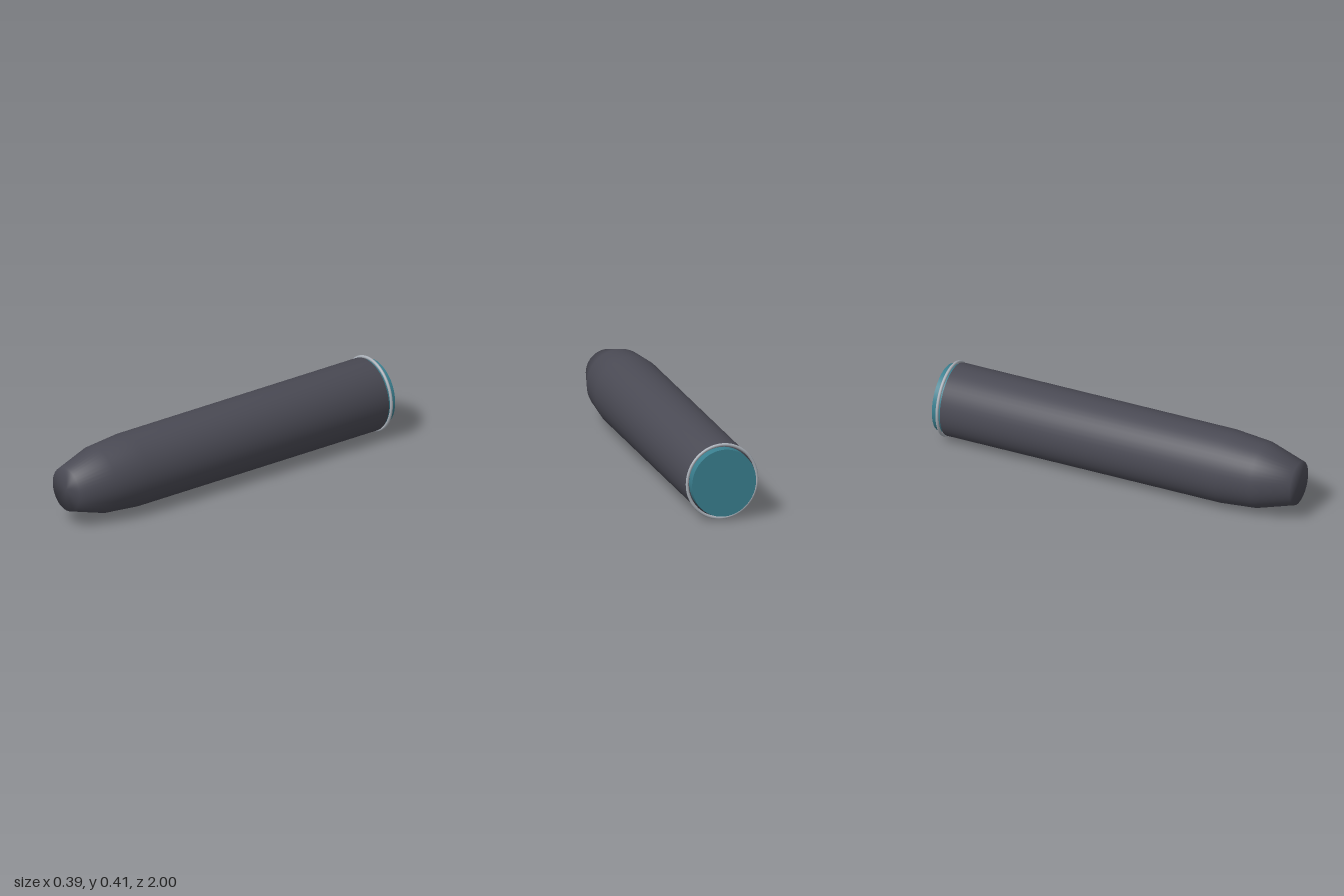
import * as THREE from 'three';

export function createModel() {
  const casing = new THREE.MeshStandardMaterial({ color: 0x4a4a54 });
  casing.name = 'charcoal casing';
  const teal = new THREE.MeshStandardMaterial({ color: 0x3a7f8f });
  teal.name = 'teal cap';
  const metal = new THREE.MeshStandardMaterial({ color: 0xaab0b8 });
  metal.name = 'grey metal';

  const model = new THREE.Group();
  model.name = 'taperedTube';

  // Slightly taller than wide: circular parts along z, stretched in y
  const add = (name, geometry, material, z = 0) => {
    geometry.scale(1, 1.045, 1);
    const mesh = new THREE.Mesh(geometry, material);
    mesh.name = name;
    mesh.position.set(0, 0.204, z);
    model.add(mesh);
  };

  // Closed body with a tapered nose, smooth all over: [radius, z]
  const profile = [
    [0, -0.948], [0.187, -0.948], [0.187, 0.6], [0.17, 0.8], [0.112, 1], [0, 1],
  ].map(([r, z]) => new THREE.Vector2(r, z));
  add('body', new THREE.LatheGeometry(profile, 48).rotateX(Math.PI / 2), casing);

  // Flat-ended rear cap
  add('rearCap', new THREE.CylinderGeometry(0.172, 0.172, 0.06, 48).rotateX(Math.PI / 2), teal, -0.97);

  // Thin ring around the cap
  add('rearRing', new THREE.TorusGeometry(0.187, 0.008, 10, 64), metal, -0.964);

  return model;
}
